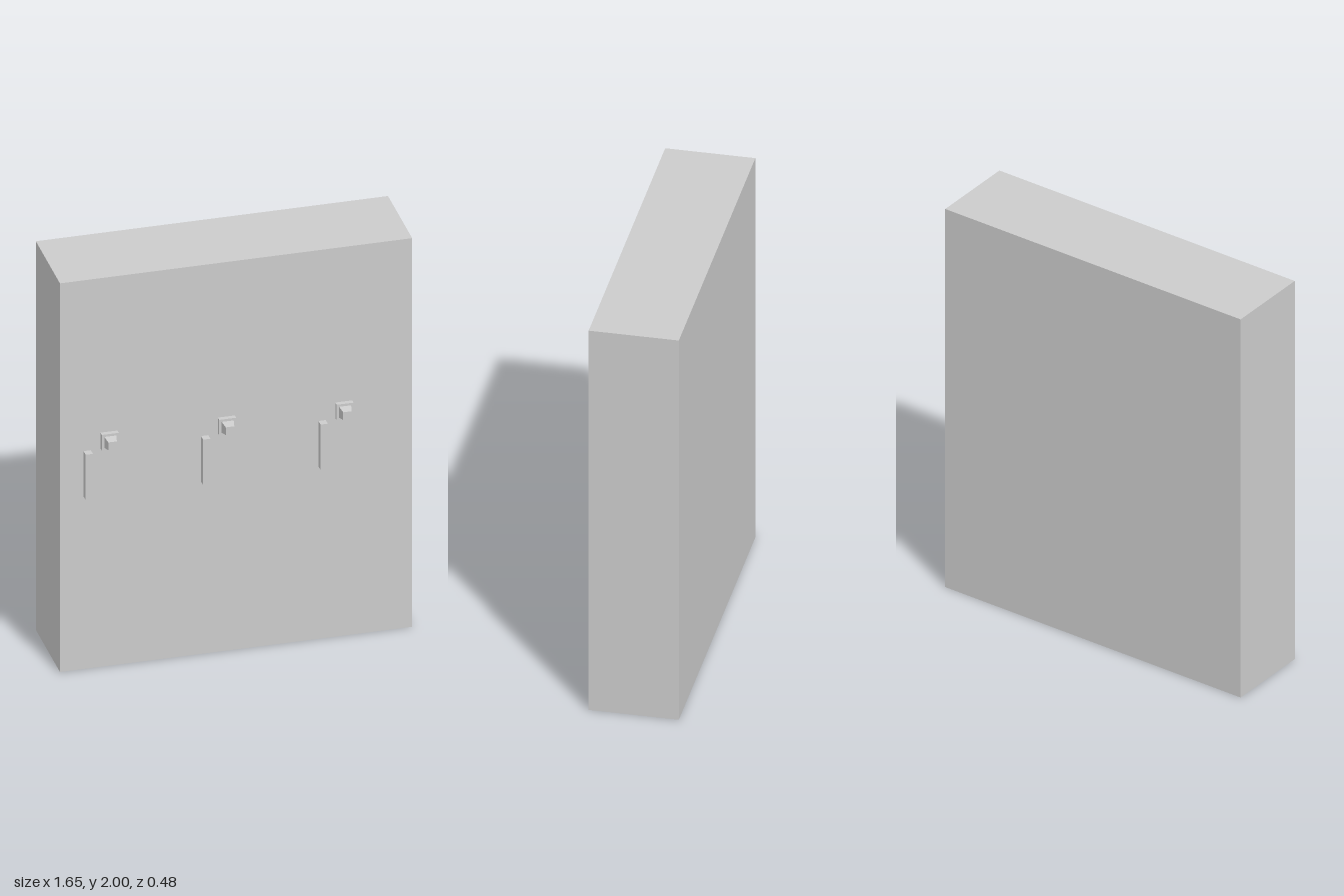
import * as THREE from 'three';

const material = new THREE.MeshStandardMaterial({ color: 0xcccccc, flatShading: true });
const FRONT = 0.177; // z of the cabinet's front face

function addPart(parent, name, geometry, x, y, z) {
  const mesh = new THREE.Mesh(geometry, material);
  mesh.name = name;
  mesh.position.set(x, y, z);
  parent.add(mesh);
}

// Box standing on z = 0 and growing towards +z
function frontBox(w, h, d) {
  return new THREE.BoxGeometry(w, h, d).translate(0, 0, d / 2);
}

// Square knob whose outer face is smaller than its base
function taperedKnob(base, tip, depth) {
  const geometry = frontBox(base, base, depth);
  const p = geometry.attributes.position;
  for (let i = 0; i < p.count; i++) {
    if (p.getZ(i) > depth / 2) {
      p.setXY(i, p.getX(i) * tip / base, p.getY(i) * tip / base);
    }
  }
  geometry.computeVertexNormals();
  return geometry;
}

export function createModel() {
  const model = new THREE.Group();
  model.name = 'cabinet';

  // Plain cabinet body
  addPart(model, 'body', new THREE.BoxGeometry(1.654, 2, 0.418), 0, 1, -0.032);

  // One handle and one lock for each of the three doors
  for (let i = 0; i < 3; i++) {
    const door = new THREE.Group();
    door.name = `doorFittings${i + 1}`;
    door.position.set(-0.699 + i * 0.5515, 0, FRONT);
    addPart(door, 'handle', frontBox(0.034, 0.234, 0.036), 0, 1.004, 0);
    addPart(door, 'lockPlate', frontBox(0.08, 0.08, 0.023), 0.102, 1.165, 0);
    addPart(door, 'lockKnob', taperedKnob(0.056, 0.04, 0.041), 0.102, 1.165, 0.023);
    model.add(door);
  }
  return model;
}
